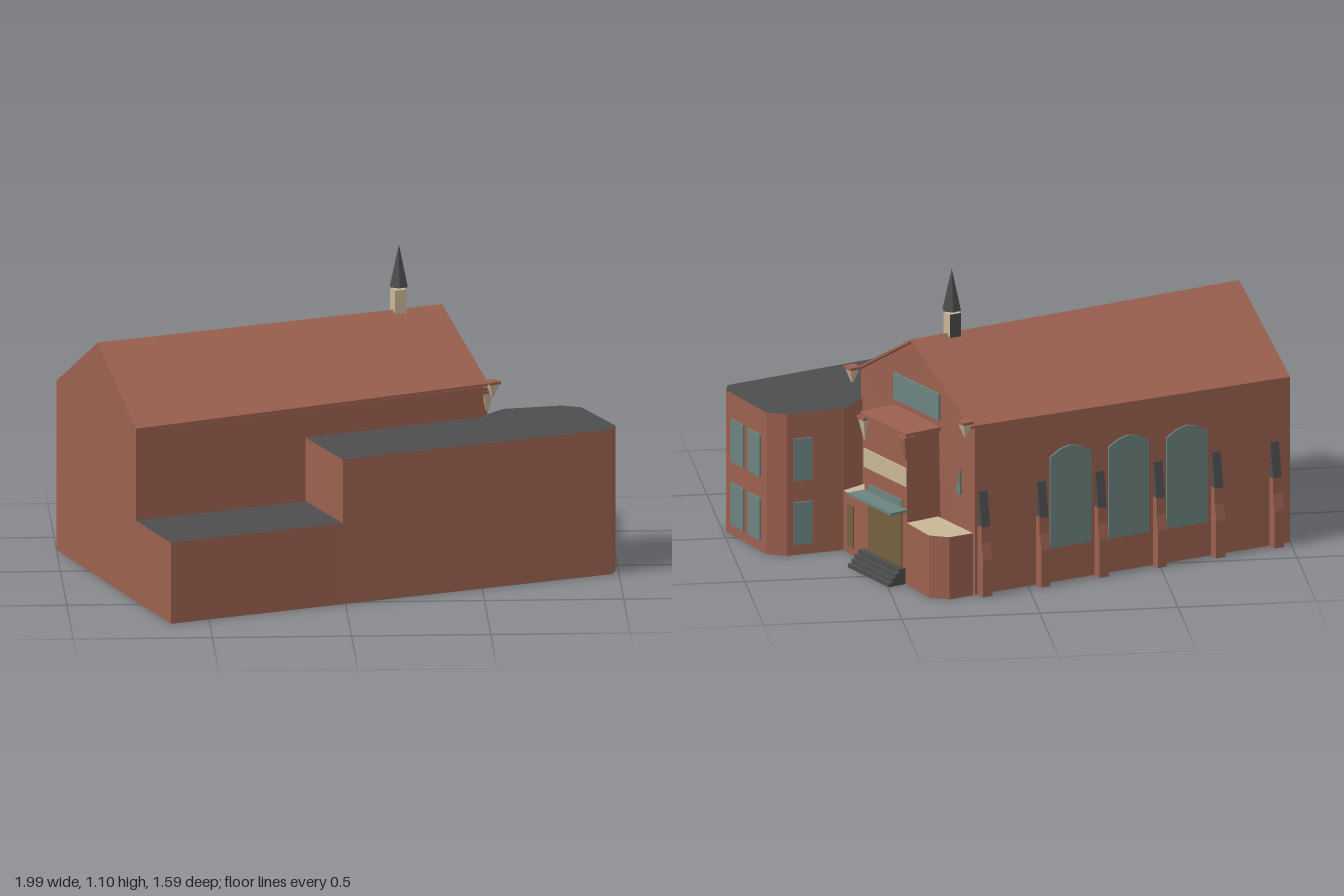
import * as THREE from 'three';

const mat = (name, color) => Object.assign(new THREE.MeshStandardMaterial({ color, flatShading: true }), { name });

export function createModel() {
  const root = new THREE.Group();
  root.name = 'church';
  const brick = mat('brick', 0x9c6150), slate = mat('slate', 0x4d4d4d), glass = mat('glass', 0x6c8480);
  const cream = mat('cream stone', 0xc8b696), wood = mat('door wood', 0x75603f);

  const add = (parent, name, geometry, material, x = 0, y = 0, z = 0) => {
    const m = new THREE.Mesh(geometry, material);
    m.name = name;
    m.position.set(x, y, z);
    parent.add(m);
    return m;
  };
  const shape = pts => new THREE.Shape(pts.map(p => new THREE.Vector2(p[0], p[1])));
  const extrude = (pts, depth) => new THREE.ExtrudeGeometry(shape(pts), { depth, bevelEnabled: false });

  // Upright prism over a plan of [x, z] points
  const prism = (parent, name, plan, y0, y1, material) => {
    const g = extrude(plan.map(([x, z]) => [x, -z]), y1 - y0).rotateX(-Math.PI / 2);
    return add(parent, name, g, material, 0, y0, 0);
  };
  // Brick block with a thin coloured flat roof
  const block = (parent, name, plan, h, top) => {
    prism(parent, name, plan, 0, h - 0.005, brick);
    prism(parent, name + 'Roof', plan, h - 0.005, h, [top, brick]);
  };
  // Solid between two rings of equal length, with end caps
  const loft = (name, a, b, material) => {
    const pos = [], n = a.length;
    const tri = (...p) => p.forEach(q => pos.push(...q));
    for (let i = 0; i < n; i++) {
      const j = (i + 1) % n;
      tri(a[i], b[i], b[j]);
      tri(a[i], b[j], a[j]);
      if (i > 1) {
        tri(a[0], a[i - 1], a[i]);
        tri(b[0], b[i], b[i - 1]);
      }
    }
    const g = new THREE.BufferGeometry();
    g.setAttribute('position', new THREE.Float32BufferAttribute(pos, 3));
    g.computeVertexNormals();
    return add(root, name, g, material);
  };
  // Wall frame: local z points out of the wall, origin at plan point (x, z)
  const frame = (name, x, z, nx, nz) => {
    const f = new THREE.Group();
    f.name = name;
    f.position.set(x, 0, z);
    f.rotation.y = Math.atan2(nx, nz);
    root.add(f);
    return f;
  };
  // Thin plate on a wall frame
  const plate = (parent, name, x0, x1, y0, y1, z, material) =>
    add(parent, name, new THREE.BoxGeometry(x1 - x0, y1 - y0, 0.008), material, (x0 + x1) / 2, (y0 + y1) / 2, z);

  // Nave body, slightly set back under the east verge
  const west = [[-1, 0, -0.32], [-0.75, 0, 0.46], [-0.75, 0.63, 0.46], [-0.87, 0.855, 0.08], [-1, 0.615, -0.32]];
  const east = [[0.22, 0, -0.77], [0.54, 0, -0.09], [0.54, 0.645, -0.09], [0.39, 0.855, -0.43], [0.22, 0.63, -0.77]];
  loft('nave', west, east.map(([x, y, z]) => [x - 0.018, y, z + 0.009]), brick);

  // Roof slopes
  const lift = ([x, y, z]) => [x, y + 0.01, z];
  const slope = (name, n, s) => {
    const ring = r => [r[n], r[s], lift(r[s]), lift(r[n])];
    loft(name, ring(west), ring(east), brick);
  };
  slope('southRoof', 3, 2);
  slope('northRoof', 4, 3);

  // Side annexes along the south
  block(root, 'lowAnnex', [[-0.75, 0.46], [-0.64, 0.79], [-0.01, 0.53], [-0.13, 0.2]], 0.3, slate);
  block(root, 'tallAnnex', [[-0.13, 0.2], [-0.01, 0.53], [0.975, 0.13], [0.99, 0.075], [0.88, -0.2],
    [0.81, -0.23], [0.6, -0.19], [0.5, -0.07]], 0.535, slate);

  // Annex windows: two pairs to the east, one column to the north
  const annexEast = frame('annexEastWall', 0.99, 0.075, 0.928, -0.371);
  const annexNorth = frame('annexNorthWall', 0.81, -0.23, -0.187, -0.982);
  for (const y of [0.04, 0.28]) {
    for (const x of [0.045, 0.167]) plate(annexEast, 'annexWindow', x, x + 0.09, y, y + 0.16, 0.002, glass);
    plate(annexNorth, 'annexSideWindow', 0.025, 0.095, y, y + 0.16, 0.002, glass);
  }

  // East facade
  const front = frame('eastFacade', 0.39, -0.43, 0.905, -0.426);
  plate(front, 'gableWindow', -0.138, 0.162, 0.6, 0.7, -0.018, glass);
  for (const s of [-0.265, 0.29]) {
    add(front, 'lancetWindow', extrude([[-0.014, 0.36], [0.014, 0.36], [0.01, 0.45]], 0.008), glass, s, 0, -0.022);
  }
  block(front, 'northPorch', [[0.38, -0.02], [0.373, 0.076], [0.316, 0.127], [0.15, 0.115], [0.15, -0.02]], 0.235, cream);
  block(front, 'southPorch', [[-0.12, -0.02], [-0.12, 0.106], [-0.307, 0.088], [-0.33, -0.02]], 0.225, cream);
  plate(front, 'porchDoor', -0.264, -0.225, 0.03, 0.19, 0.096, wood);

  // Entrance bay
  prism(front, 'entranceBay', [[-0.131, -0.03], [0.152, -0.03], [0.152, 0.113], [-0.131, 0.113]], 0, 0.56, brick);
  prism(front, 'bayCap', [[-0.142, -0.03], [0.163, -0.03], [0.163, 0.125], [-0.142, 0.125]], 0.56, 0.575, brick);
  plate(front, 'entranceDoor', -0.1, 0.122, 0.05, 0.27, 0.114, wood);
  plate(front, 'transomWindow', -0.1, 0.122, 0.28, 0.312, 0.114, glass);
  plate(front, 'stoneBand', -0.13, 0.151, 0.37, 0.44, 0.114, cream);
  add(front, 'canopy', new THREE.BoxGeometry(0.28, 0.01, 0.075), glass, 0.016, 0.28, 0.149);
  for (let i = 0; i < 4; i++) {
    const d = 0.07 - i * 0.014;
    add(front, 'step', new THREE.BoxGeometry(0.27, 0.015, d), slate, 0.005, 0.0075 + i * 0.015, 0.113 + d / 2);
  }

  // Tapered corbels under the eaves and the bay cap
  const corbel = (s, y, t, h, material) => {
    const c = add(front, 'corbel', new THREE.CylinderGeometry(0.028, 0.005, h, 4), material, s, y, t);
    c.rotation.y = Math.PI / 4;
    add(front, 'corbelCap', new THREE.BoxGeometry(0.045, 0.01, 0.045), brick, s, y + h / 2, t);
  };
  corbel(-0.372, 0.63, 0.008, 0.055, cream);
  corbel(0.372, 0.63, 0.008, 0.055, cream);
  corbel(-0.125, 0.515, 0.113, 0.085, cream);
  corbel(0.145, 0.515, 0.113, 0.085, brick);

  // North wall: six stepped buttresses and three arched windows
  const north = frame('northWall', 0.22, -0.77, -0.346, -0.938);
  const lower = [[-0.01, 0], [0.038, 0], [0.038, 0.14], [0.026, 0.2], [0.026, 0.26], [-0.01, 0.26]];
  const upper = [[-0.01, 0.26], [0.026, 0.26], [0.004, 0.39], [-0.01, 0.39]];
  for (let i = 0; i < 6; i++) {
    const s = 0.05 + i * 0.237;
    const side = (name, pts, w, m) =>
      add(north, name, extrude(pts, w).rotateY(-Math.PI / 2), m, s + w / 2, 0, 0);
    side('buttress', lower, 0.038, brick);
    side('buttressSlope', upper, 0.034, slate);
    if (i > 0 && i < 4) {
      const w = 0.083;
      const arch = [[-w, 0.13], [w, 0.13], [w, 0.475], [w * 0.5, 0.5], [0, 0.51], [-w * 0.5, 0.5], [-w, 0.475]];
      add(north, 'naveWindow', extrude(arch, 0.008), glass, s + 0.1185, 0, -0.002);
    }
  }

  // Ridge turret and spire
  const turret = add(root, 'turret', new THREE.BoxGeometry(0.045, 0.1, 0.045),
    [cream, cream, cream, cream, cream, slate], 0.23, 0.89, -0.365);
  turret.rotation.y = 0.38;
  add(root, 'spire', new THREE.ConeGeometry(0.036, 0.155, 6), slate, 0.232, 1.027, -0.365);

  return root;
}
